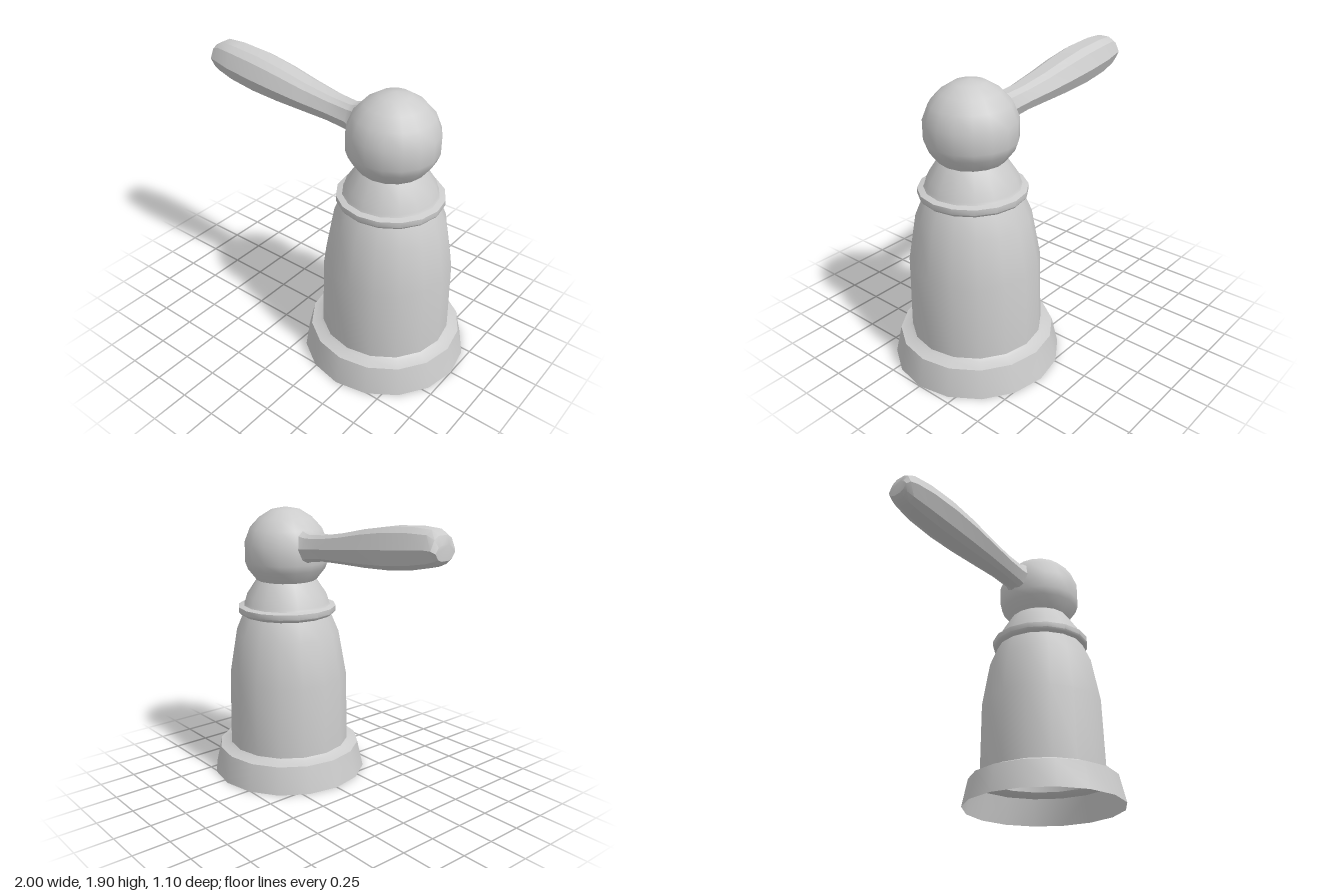
import * as THREE from 'three';
import { toCreasedNormals } from 'three/addons/utils/BufferGeometryUtils.js';

const AXIS_X = 0.45;

const metal = new THREE.MeshStandardMaterial({ color: 0xcccccc, side: THREE.DoubleSide });
metal.name = 'satin metal';

// Turned part: profile of [radius, height], bottom to top
function turned(name, profile, crease) {
  const points = profile.map(([r, y]) => new THREE.Vector2(r, y));
  const mesh = new THREE.Mesh(toCreasedNormals(new THREE.LatheGeometry(points, 16), crease), metal);
  mesh.name = name;
  mesh.position.x = AXIS_X;
  return mesh;
}

// Lever lofted through faceted oval sections: [x, bottom, top, half width]
function leverGeometry() {
  const sections = [
    [0.24, 1.50, 1.77, 0.13],
    [0.19, 1.535, 1.748, 0.108],
    [0.15, 1.56, 1.738, 0.096],
    [0.0, 1.58, 1.75, 0.102],
    [-0.2, 1.59, 1.785, 0.122],
    [-0.4, 1.597, 1.83, 0.138],
    [-0.6, 1.61, 1.865, 0.145],
    [-0.8, 1.637, 1.881, 0.137],
    [-0.93, 1.667, 1.878, 0.115],
    [-0.98, 1.69, 1.85, 0.1],
    [-1.0, 1.71, 1.8, 0.08],
  ];
  const half = [[0.35, 1], [0.7, 0.75], [1, 0], [0.7, -0.75], [0.35, -1]];
  const ring = [...half, ...half.slice().reverse().map(([z, y]) => [-z, y])];
  const n = ring.length;
  const positions = [];
  const index = [];
  sections.forEach(([x, low, high, width], i) => {
    for (const [z, y] of ring) {
      positions.push(x, (low + high) / 2 + y * (high - low) / 2, z * width);
    }
    if (i === 0) return;
    for (let j = 0; j < n; j++) {
      const a = (i - 1) * n + j;
      const b = (i - 1) * n + (j + 1) % n;
      index.push(a, a + n, b, b, a + n, b + n);
    }
  });
  // Tip cap
  const last = (sections.length - 1) * n;
  for (let j = 1; j < n - 1; j++) index.push(last, last + j + 1, last + j);
  const geometry = new THREE.BufferGeometry();
  geometry.setAttribute('position', new THREE.Float32BufferAttribute(positions, 3));
  geometry.setIndex(index);
  return toCreasedNormals(geometry, 0.5);
}

export function createModel() {
  const group = new THREE.Group();
  group.name = 'leverHandle';

  // Hollow flange and tapered body, open underneath
  group.add(turned('body', [
    [0.55, 0], [0.508, 0.19], [0.45, 0.205], [0.43, 0.22],
    [0.42, 0.72], [0.365, 1.03], [0.312, 1.155],
  ], 0.7));

  // Raised ring around the top of the body
  group.add(turned('collar', [
    [0.312, 1.155], [0.332, 1.165], [0.344, 1.18], [0.344, 1.215], [0.306, 1.225],
  ], 0.7));

  group.add(turned('neck', [
    [0.306, 1.225], [0.298, 1.24], [0.283, 1.29], [0.21, 1.4],
  ], 0.7));

  group.add(turned('ball', [
    [0.21, 1.4], [0.272, 1.48], [0.29, 1.53], [0.29, 1.655],
    [0.25, 1.755], [0.185, 1.825], [0.1, 1.878], [0, 1.897],
  ], 0.9));

  const lever = new THREE.Mesh(leverGeometry(), metal);
  lever.name = 'lever';
  group.add(lever);

  return group;
}
